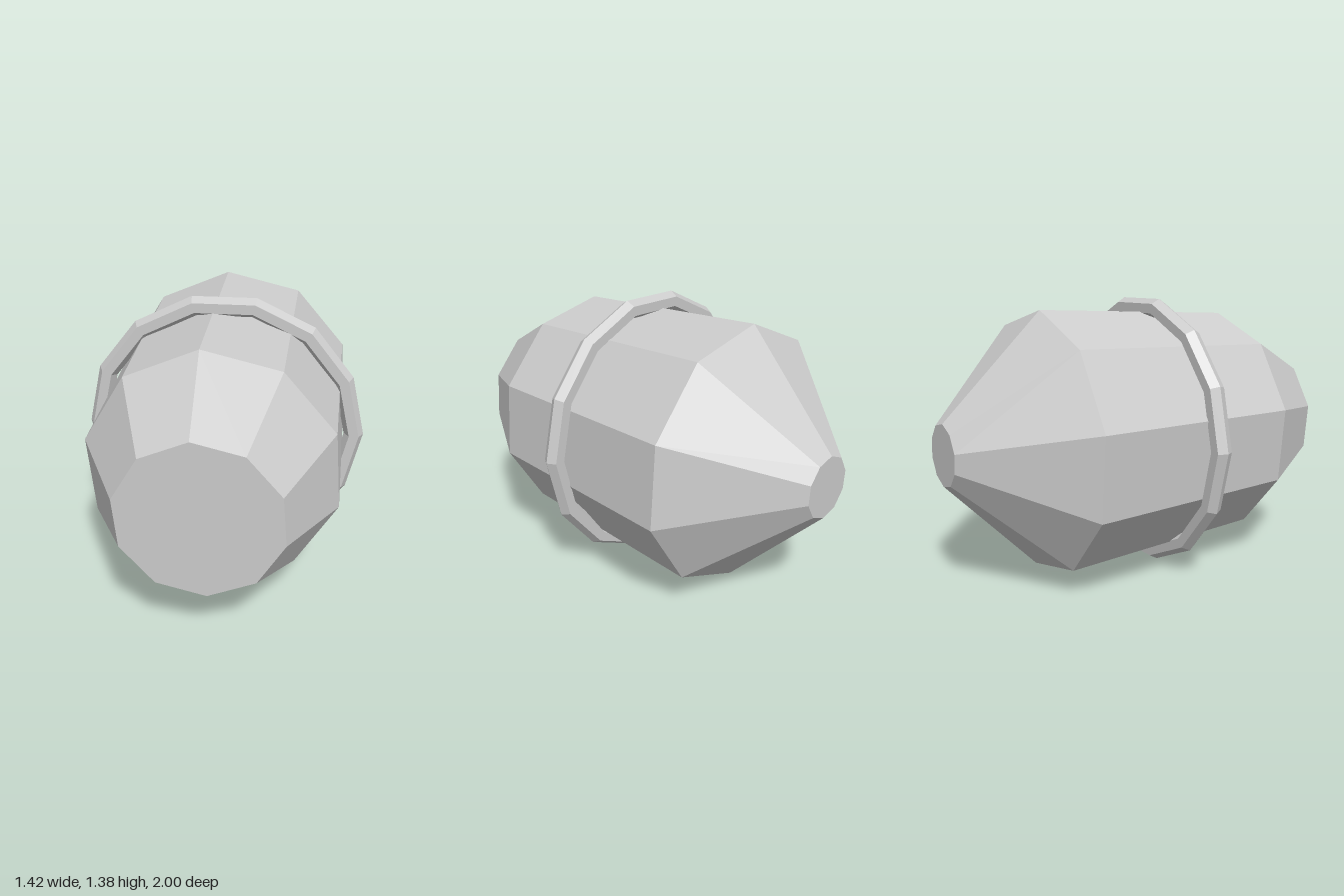
import * as THREE from 'three';

export function createModel() {
  const group = new THREE.Group();
  const grey = new THREE.MeshStandardMaterial({ color: 0xcccccc, flatShading: true });
  grey.name = 'light grey';
  const centreY = 0.695;

  // Ten-sided barrel body, capped at both ends and tapering to the back
  const profile = [
    [0, -1], [0.151, -1], [0.652, -0.515], [0.606, 0.588], [0.376, 1], [0, 1],
  ].map(([r, z]) => new THREE.Vector2(r, z));
  const bodyGeometry = new THREE.LatheGeometry(profile, 10, THREE.MathUtils.degToRad(4.7));
  bodyGeometry.rotateX(Math.PI / 2);
  const body = new THREE.Mesh(bodyGeometry, grey);
  body.name = 'body';
  body.position.y = centreY;

  // Fourteen-sided band with a hexagonal section around the middle
  const band = new THREE.Mesh(new THREE.TorusGeometry(0.661, 0.049, 6, 14), grey);
  band.name = 'band';
  band.position.set(0, centreY, 0.105);

  group.add(body, band);
  return group;
}
